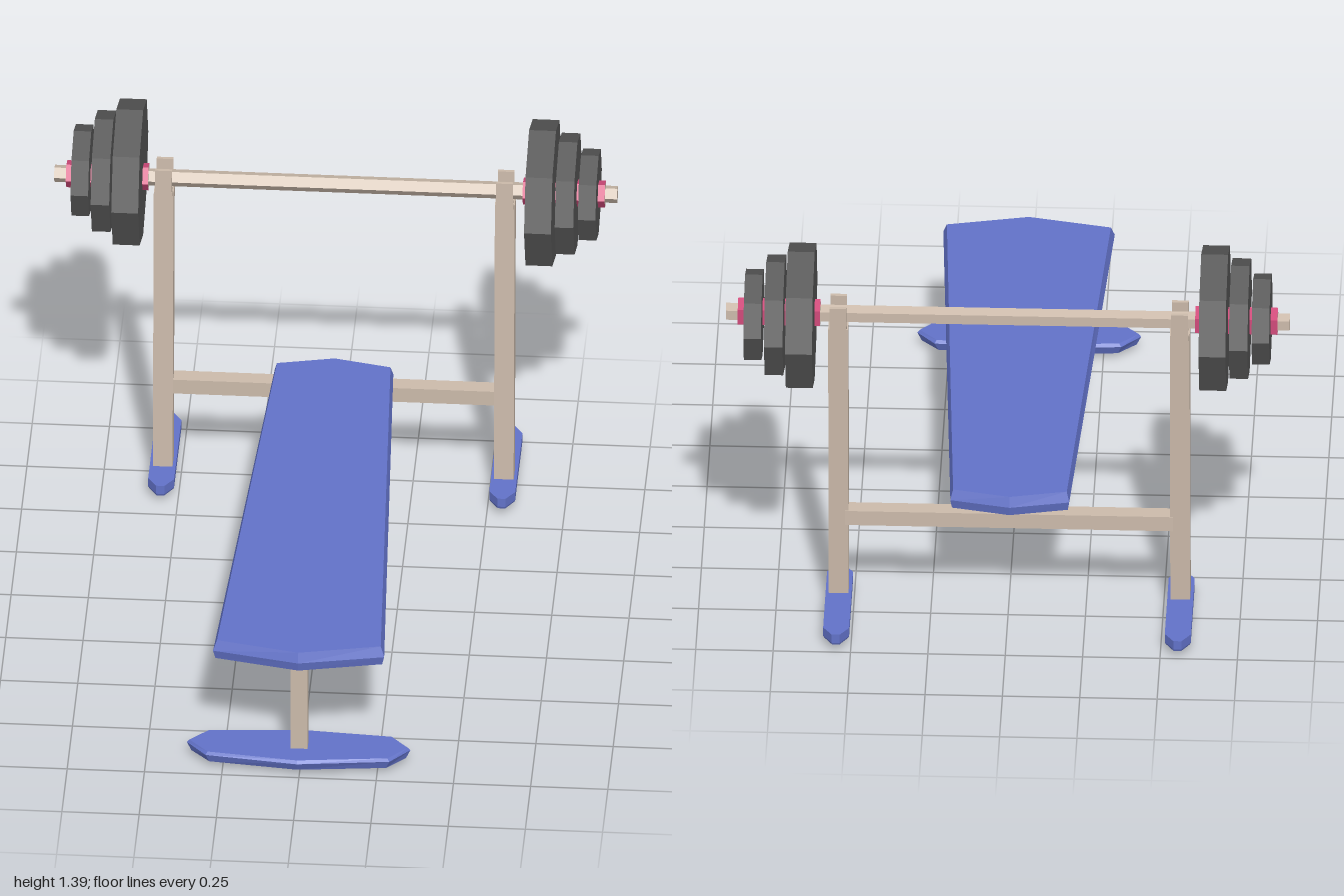
import * as THREE from 'three';

const material = (name, color) => {
  const m = new THREE.MeshStandardMaterial({ color });
  m.name = name;
  m.flatShading = true;
  return m;
};

// Stacks inset copies of a plan outline ([x, z], ordered front, right, back, left);
// each level is [y, inset]. Starting with a raised level makes a hollow underside.
function slabGeometry(outline, levels) {
  const xs = outline.map(p => p[0]), zs = outline.map(p => p[1]);
  const cx = (Math.min(...xs) + Math.max(...xs)) / 2, cz = (Math.min(...zs) + Math.max(...zs)) / 2;
  const hx = Math.max(...xs) - cx, hz = Math.max(...zs) - cz;
  const rings = levels.map(([y, inset]) => outline.map(([x, z]) =>
    [cx + (x - cx) * (1 - inset / hx), y, cz + (z - cz) * (1 - inset / hz)]));
  const positions = [];
  const tri = (a, b, c) => positions.push(...a, ...b, ...c);
  const n = outline.length;
  for (let k = 0; k + 1 < rings.length; k++) {
    const low = rings[k], high = rings[k + 1];
    for (let i = 0; i < n; i++) {
      const j = (i + 1) % n;
      tri(low[i], low[j], high[j]);
      tri(low[i], high[j], high[i]);
    }
  }
  const bottom = rings[0], top = rings[rings.length - 1];
  for (let i = 1; i + 1 < n; i++) {
    tri(top[0], top[i], top[i + 1]);
    tri(bottom[0], bottom[i + 1], bottom[i]);
  }
  const g = new THREE.BufferGeometry();
  g.setAttribute('position', new THREE.Float32BufferAttribute(positions, 3));
  g.computeVertexNormals();
  return g;
}

export function createModel() {
  const model = new THREE.Group();
  model.name = 'weightBench';
  const blue = material('blue padding', 0x6272c8);
  const beige = material('beige metal', 0xcbbaaa);
  const grey = material('dark grey iron', 0x555555);
  const pink = material('pink collar', 0xd04a7a);

  const add = (name, geometry, mat, x = 0, y = 0, z = 0, parent = model) => {
    const mesh = new THREE.Mesh(geometry, mat);
    mesh.name = name;
    mesh.position.set(x, y, z);
    parent.add(mesh);
    return mesh;
  };
  const box = (name, w, h, d, mat, x, y, z, parent) =>
    add(name, new THREE.BoxGeometry(w, h, d), mat, x, y, z, parent);
  // Cylinder lying along x
  const rod = (name, radius, length, sides, mat, x, y, z) =>
    add(name, new THREE.CylinderGeometry(radius, radius, length, sides).rotateZ(Math.PI / 2), mat, x, y, z);

  // Tapered bench pad with bevelled rim and hollow underside
  add('benchPad', slabGeometry([
    [-0.005, 0.968], [0.27, 0.912], [0.187, -0.735], [-0.005, -0.775], [-0.197, -0.735], [-0.284, 0.912],
  ], [[0.424, 0.022], [0.39, 0.022], [0.39, 0.007], [0.422, 0], [0.456, 0.012]]), blue);

  // Front leg and its wide foot
  box('frontLeg', 0.055, 0.406, 0.055, beige, -0.005, 0.225, 0.892);
  add('frontFoot', slabGeometry([
    [-0.007, 0.997], [0.29, 0.962], [0.353, 0.89], [0.295, 0.824], [-0.007, 0.802],
    [-0.308, 0.824], [-0.37, 0.89], [-0.305, 0.962],
  ], [[0.045, 0.022], [0.02, 0.022], [0.02, 0.014], [0.05, 0], [0.06, 0.008]]), blue);

  // Cross beam between the uprights
  box('crossBeam', 1.06, 0.053, 0.055, beige, -0.003, 0.362, -0.732);

  for (const side of [-1, 1]) {
    const x = side * 0.552 - 0.004;

    // Upright leaning back, with a fork at the top
    const upright = new THREE.Group();
    upright.name = side > 0 ? 'leftUpright' : 'rightUpright';
    upright.position.set(x, 0.002, -0.709);
    upright.rotation.x = -0.045;
    model.add(upright);
    box('post', 0.064, 1.06, 0.06, beige, 0, 0.565, 0, upright);
    box('postTip', 0.054, 0.04, 0.052, beige, 0, 0.02, 0, upright);
    box('forkBase', 0.056, 0.02, 0.088, beige, 0, 1.095, 0, upright);
    for (const s of [-1, 1]) box('forkProng', 0.054, 0.1, 0.012, beige, 0, 1.135, s * 0.038, upright);

    // Long foot with pointed ends and hollow underside
    const outline = [[-0.013, -0.568], [0.013, -0.568], [0.042, -0.61], [0.042, -0.955],
      [0.013, -0.998], [-0.013, -0.998], [-0.042, -0.955], [-0.042, -0.61]];
    add('rearFoot', slabGeometry(outline,
      [[0.05, 0.012], [0.027, 0.012], [0.027, 0.003], [0.035, 0], [0.066, 0]]), blue, x);

    // Collar with metal end faces, and three plates, largest innermost
    rod('collar', 0.046, 0.266, 5, [pink, beige, beige], side * 0.739, 1.138, -0.757);
    const plateY = side > 0 ? 1.13 : 1.15;
    for (const [cx, width, radius] of [[0.668, 0.087, 0.241], [0.751, 0.06, 0.2], [0.821, 0.057, 0.151]])
      rod('weightPlate', radius, width, 8, grey, side * cx, plateY, -0.762);
  }

  // Bar across the forks
  rod('bar', 0.029, 1.822, 5, beige, 0, 1.137, -0.758);

  return model;
}
